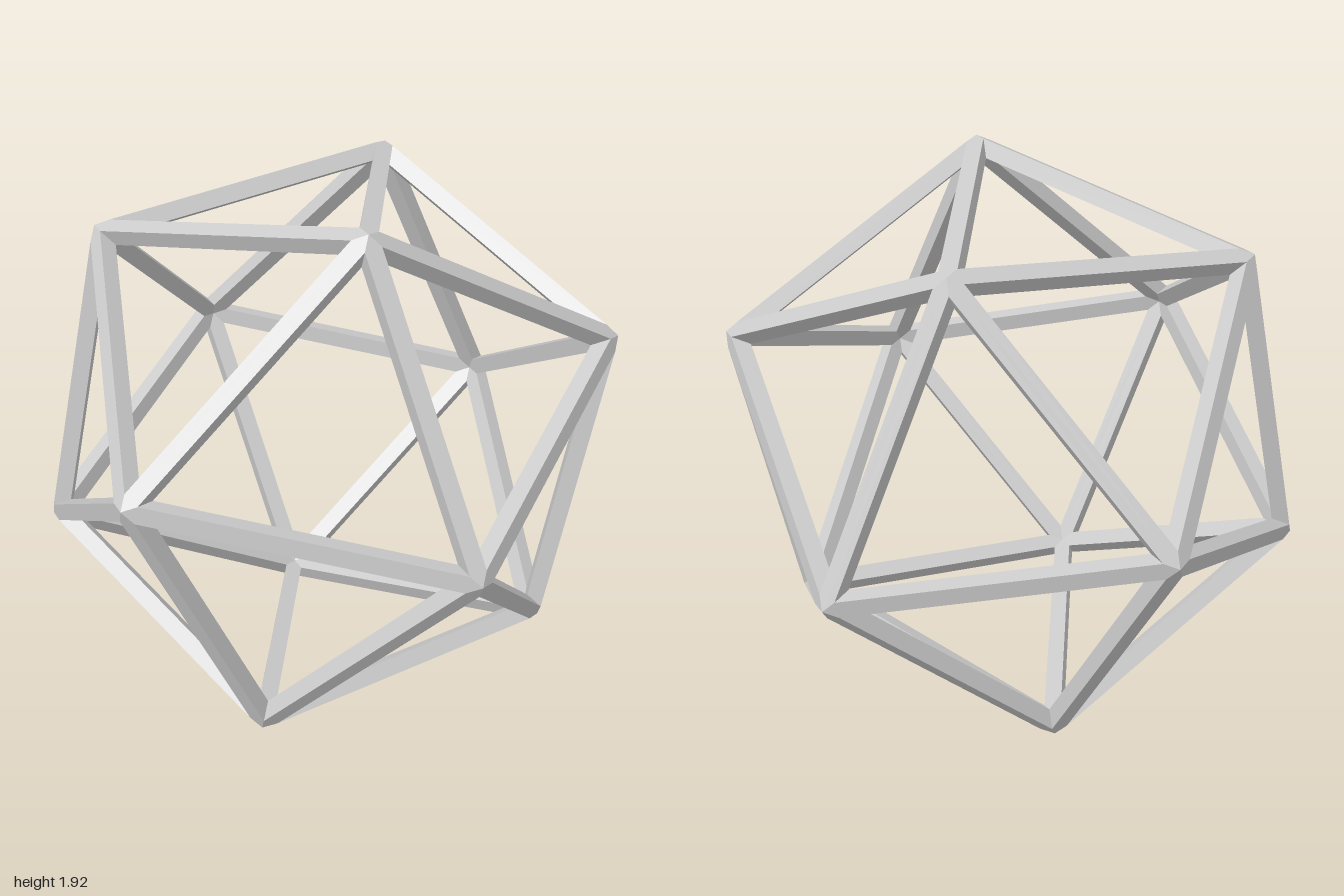
import * as THREE from 'three';

const PHI = (1 + Math.sqrt(5)) / 2;
const HALF_EDGE = 0.565;   // half the length of one icosahedron edge
const BAR = 0.06;          // side of the square bar section

// One square bar lying along z at its distance from the centre (y is outward).
// Its ends are mitred to a point so five bars meet cleanly at each corner.
function barGeometry() {
  const geometry = new THREE.BoxGeometry(BAR, BAR, 1, 2, 1, 1);
  geometry.translate(0, PHI * HALF_EDGE - BAR / 2, 0);
  const p = geometry.attributes.position;
  for (let i = 0; i < p.count; i++) {
    const reach = p.getY(i) / PHI - PHI * Math.abs(p.getX(i));
    p.setZ(i, Math.sign(p.getZ(i)) * reach);
  }
  // The end caps are the last 24 indices; they are buried in the joints.
  const index = Array.from(geometry.index.array);
  geometry.setIndex(index.slice(0, -24));
  geometry.clearGroups();
  return geometry;
}

// The twelve corners: cyclic permutations of (±PHI, ±1, 0)
function corners() {
  const list = [];
  for (const a of [PHI, -PHI]) {
    for (const b of [1, -1]) {
      list.push(new THREE.Vector3(a, b, 0), new THREE.Vector3(0, a, b), new THREE.Vector3(b, 0, a));
    }
  }
  return list;
}

export function createModel() {
  const model = new THREE.Group();
  model.name = 'icosahedronFrame';

  const frame = new THREE.Group();
  frame.name = 'tiltedFrame';
  const material = new THREE.MeshStandardMaterial({ color: 0xcccccc, flatShading: true });
  const geometry = barGeometry();

  // A bar on every pair of neighbouring corners
  const points = corners();
  points.forEach((p, i) => {
    for (const q of points.slice(i + 1)) {
      if (p.distanceTo(q) > 2.1) continue;
      const outward = p.clone().add(q).normalize();
      const along = q.clone().sub(p).normalize();
      const across = outward.clone().cross(along);
      const bar = new THREE.Mesh(geometry, material);
      bar.name = 'edgeBar';
      bar.quaternion.setFromRotationMatrix(new THREE.Matrix4().makeBasis(across, outward, along));
      frame.add(bar);
    }
  });

  // Tilt of the whole frame, resting on its lowest corner
  const e1 = new THREE.Vector3(0.604, 0.735, 0.309).normalize();
  const e3 = new THREE.Vector3(-0.793, 0.504, 0.342).cross(e1).negate().normalize();
  const e2 = e3.clone().cross(e1);
  frame.quaternion.setFromRotationMatrix(new THREE.Matrix4().makeBasis(e1, e2, e3));
  frame.position.y = 0.957;
  model.add(frame);
  return model;
}
